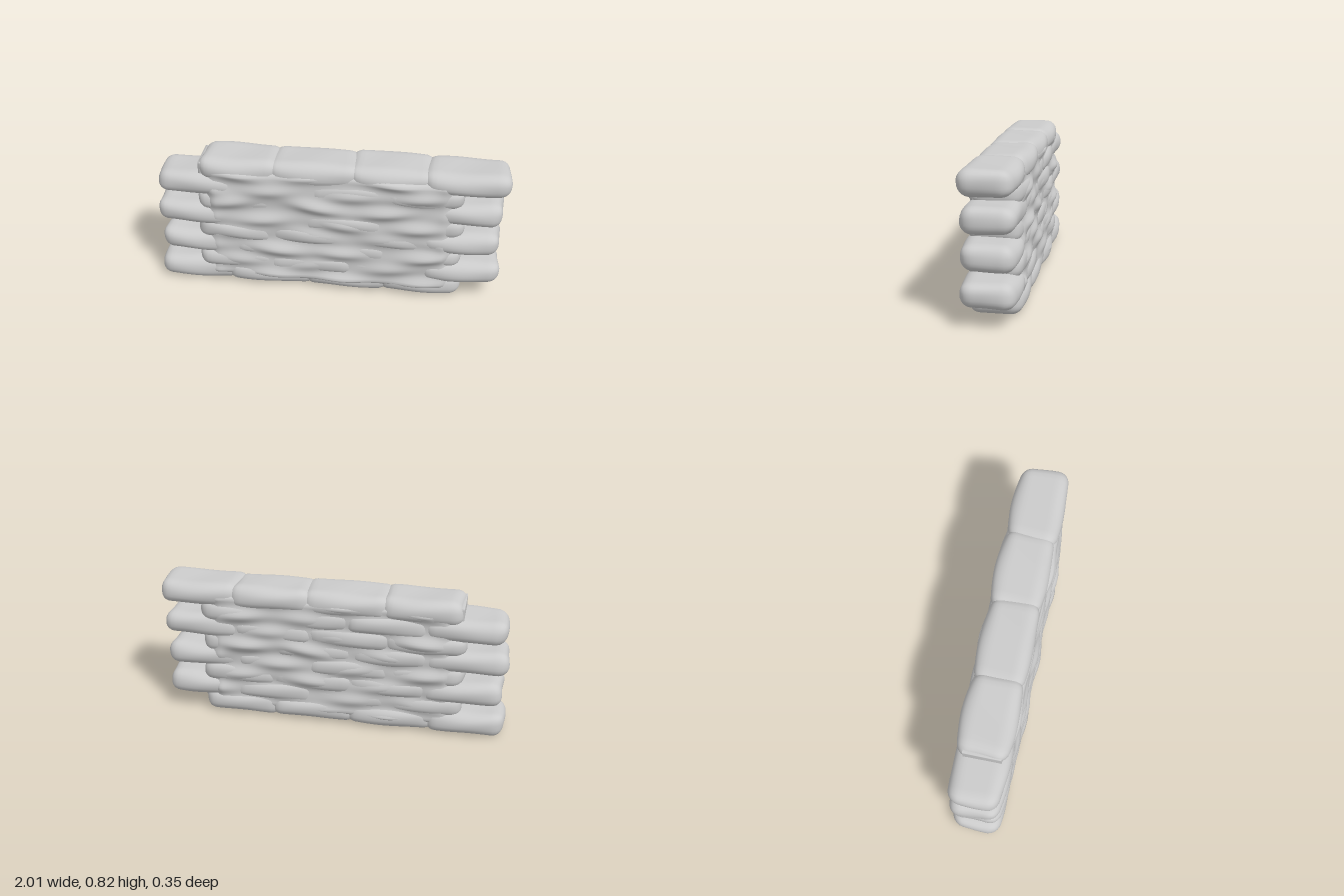
import * as THREE from 'three';
import { mergeVertices } from 'three/addons/utils/BufferGeometryUtils.js';

// Small seeded generator returning values in -1..1
function makeRandom(seed) {
  return () => {
    seed = (seed * 16807) % 2147483647;
    return (seed / 2147483647) * 2 - 1;
  };
}

// Box with shared corners, ready for smooth shading after its vertices move
function softBox(...size) {
  const geo = new THREE.BoxGeometry(...size);
  geo.deleteAttribute('uv');
  geo.deleteAttribute('normal');
  return mergeVertices(geo, 1e-5);
}

// Worn stone: a rounded block, swollen in the middle, with gentle lumps
function stoneGeometry(length, height, depth, rand) {
  const half = new THREE.Vector3(length / 2, height / 2, depth / 2);
  const r = 0.06;
  const stone = softBox(length, height, depth, 18, 8, 14);
  const inner = half.clone().subScalar(r);
  const outer = inner.clone().negate();
  const phase = [rand(), rand(), rand()].map((v) => v * Math.PI);
  const swell = 0.018 + rand() * 0.004;
  const pos = stone.attributes.position;
  const p = new THREE.Vector3();
  const c = new THREE.Vector3();
  for (let i = 0; i < pos.count; i++) {
    p.fromBufferAttribute(pos, i);
    c.copy(p).clamp(outer, inner);
    p.sub(c).setLength(r).add(c);
    const u = p.x / half.x;
    const v = p.y / half.y;
    const w = p.z / half.z;
    p.z += w * swell * (1 - u * u) * (1 - 0.3 * v * v);
    p.z += 0.004 * w * Math.sin(u * 3.1 + v * 1.6 + phase[0] + w);
    p.y += 0.003 * v * Math.sin(u * 3.6 + w * 1.5 + phase[1]);
    p.x += 0.006 * u * Math.sin(w * 2.2 + v * 1.2 + phase[2]);
    pos.setXYZ(i, p.x, p.y, p.z);
  }
  stone.computeVertexNormals();
  return stone;
}

// Worn faces: both sides of the wall as one surface with a slanted swelling per stone
function faceGeometry(centres, rand) {
  const halfX = 0.74;
  const midY = 0.408;
  const halfY = 0.375;
  const body = softBox(halfX * 2, halfY * 2, 0.2, 100, 60, 1);
  const lumps = [1, -1].map(() => centres.map(([x, y]) => ({
    x: x + rand() * 0.05,
    y: y + rand() * 0.008,
    slant: rand() * 0.14,
    amount: 0.031 + rand() * 0.012,
  })));
  const pos = body.attributes.position;
  for (let i = 0; i < pos.count; i++) {
    const x = pos.getX(i);
    const y = pos.getY(i) + midY;
    const side = Math.sign(pos.getZ(i));
    let depth = 0.133;
    for (const lump of lumps[side > 0 ? 0 : 1]) {
      const dx = (x - lump.x) / 0.155;
      const dy = (y - lump.y - lump.slant * (x - lump.x)) / 0.04;
      depth += lump.amount * Math.exp(-dx * dx - dy * dy);
    }
    // Sink into the outer stones near the border
    const fade = THREE.MathUtils.smoothstep(halfX - Math.abs(x), 0, 0.1)
      * THREE.MathUtils.smoothstep(halfY - Math.abs(y - midY), 0, 0.05);
    pos.setXYZ(i, x, y, side * (0.105 + (depth - 0.105) * fade));
  }
  body.computeVertexNormals();
  return body;
}

export function createModel() {
  const wall = new THREE.Group();
  wall.name = 'stoneWall';
  const material = new THREE.MeshStandardMaterial({ color: 0xcccccc });
  const rand = makeRandom(4711);

  // Outer ends of each course, bottom to top; courses are staggered
  const ends = [
    [-1.0, 0.76], [-0.76, 0.98], [-0.98, 0.76], [-0.76, 0.97],
    [-1.0, 0.76], [-0.76, 0.975], [-0.98, 0.76], [-0.74, 1.0],
  ];
  const perCourse = 4;
  const overlap = 0.06;
  const centres = [];

  ends.forEach(([x0, x1], row) => {
    const course = new THREE.Group();
    course.name = `course${row + 1}`;
    course.position.y = 0.073 + row * 0.0957;
    const step = (x1 - x0) / perCourse;
    const joints = [x0];
    for (let i = 1; i < perCourse; i++) joints.push(x0 + i * step + rand() * 0.012);
    joints.push(x1);

    for (let i = 0; i < perCourse; i++) {
      // Neighbouring stones sink into each other; outer ends stay on the line
      const a = joints[i] - (i > 0 ? overlap / 2 : 0);
      const b = joints[i + 1] + (i < perCourse - 1 ? overlap / 2 : 0);
      const height = 0.137 + rand() * 0.003;
      const stone = new THREE.Mesh(stoneGeometry(b - a, height, 0.268, rand), material);
      stone.name = `stone${row + 1}_${i + 1}`;
      stone.position.set((a + b) / 2, 0, -0.003 + rand() * 0.005);
      stone.rotation.set(rand() * 0.025, rand() * 0.02, rand() * 0.01);
      course.add(stone);
      centres.push([(a + b) / 2, course.position.y]);
    }
    wall.add(course);
  });

  const faces = new THREE.Mesh(faceGeometry(centres, rand), material);
  faces.name = 'wornFaces';
  wall.add(faces);

  return wall;
}
